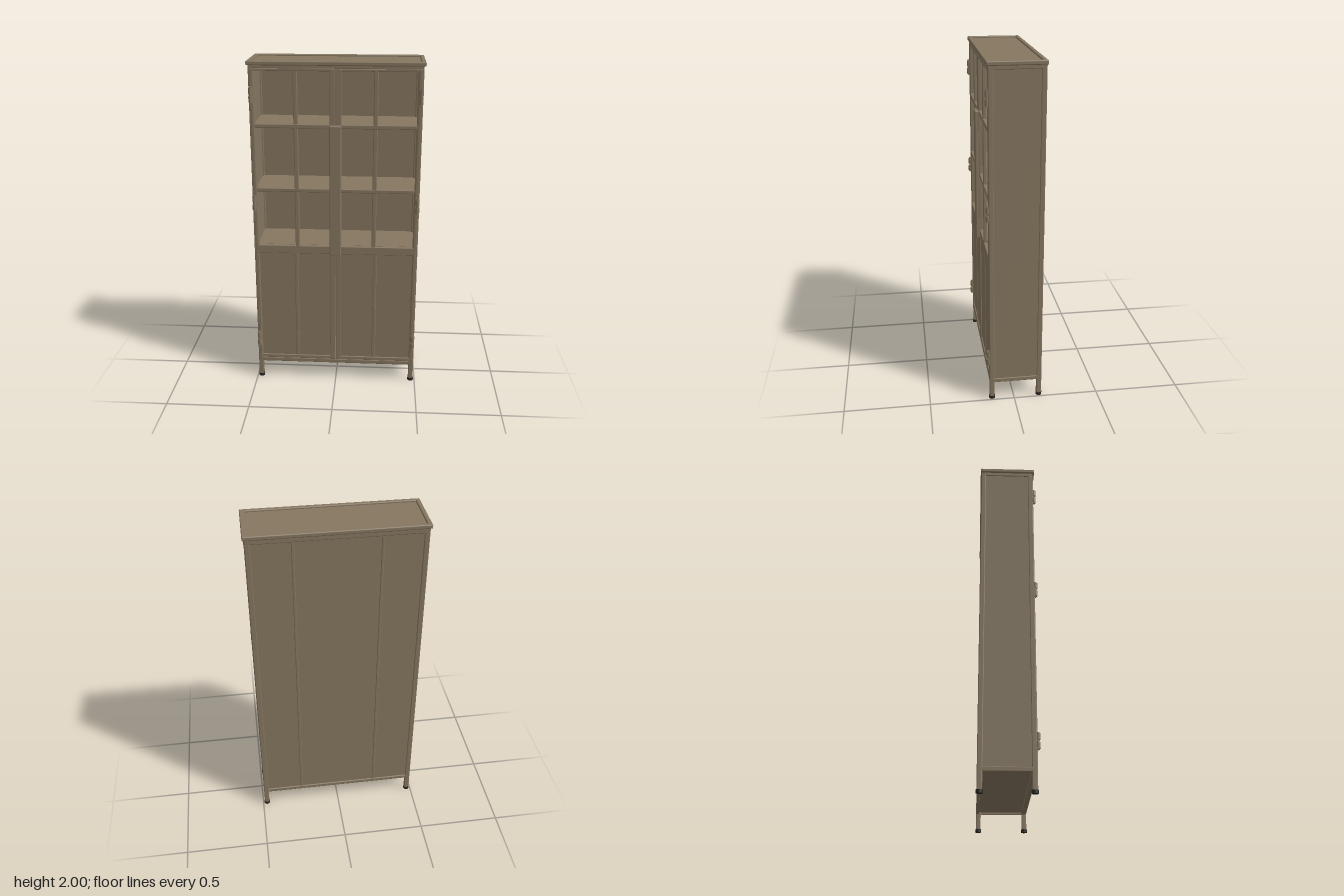
import * as THREE from 'three';
import { RoundedBoxGeometry } from 'three/addons/geometries/RoundedBoxGeometry.js';

export function createModel() {
  const model = new THREE.Group();
  const paint = new THREE.MeshStandardMaterial({ color: 0x857660 });
  paint.name = 'olive brown paint';
  const rubber = new THREE.MeshStandardMaterial({ color: 0x2b2722 });
  rubber.name = 'dark rubber';

  // Box given by its limits on each axis; r rounds its edges
  function box(name, x0, x1, y0, y1, z0, z1, r = 0, parent = model) {
    const [w, h, d] = [x1 - x0, y1 - y0, z1 - z0];
    const geo = r ? new RoundedBoxGeometry(w, h, d, 2, r) : new THREE.BoxGeometry(w, h, d);
    const mesh = new THREE.Mesh(geo, paint);
    mesh.name = name;
    mesh.position.set((x0 + x1) / 2, (y0 + y1) / 2, (z0 + z1) / 2);
    parent.add(mesh);
    return mesh;
  }
  function cylinder(name, radius, height, x, y, z, material, parent = model) {
    const mesh = new THREE.Mesh(new THREE.CylinderGeometry(radius, radius, height, 16), material);
    mesh.name = name;
    mesh.position.set(x, y, z);
    parent.add(mesh);
  }

  const X = 0.49, BACK = -0.165, FRONT = 0.145, BASE = 0.11, TOP = 1.98;

  // Top: recessed sheet with a raised rim
  box('topPanel', -0.48, 0.48, 1.965, 1.99, -0.15, 0.135);
  box('topRimFront', -0.5, 0.5, 1.976, 2, 0.13, 0.155, 0.006);
  box('topRimBack', -0.5, 0.5, 1.976, 2, -0.17, -0.145, 0.006);
  for (const s of [-1, 1]) {
    const side = s * 0.4875;
    box('topRimSide', side - 0.0125, side + 0.0125, 1.976, 2, -0.17, 0.155, 0.006);
  }

  // Corner posts running down into legs, with dark foot caps
  for (const s of [-1, 1]) {
    for (const z of [BACK + 0.0145, FRONT - 0.0145]) {
      const x = s * (X - 0.015);
      box('cornerPost', x - 0.015, x + 0.015, 0.015, TOP, z - 0.0145, z + 0.0145, 0.005);
      cylinder('footCap', 0.018, 0.018, x, 0.009, z, rubber);
    }
    // Side wall with shallow frame
    const wall = s * (X - 0.012);
    box('sidePanel', wall - 0.008, wall + 0.008, BASE, TOP, BACK + 0.01, FRONT - 0.01);
    const rail = s * (X - 0.01);
    for (const [y0, y1] of [[BASE, 0.135], [1.955, TOP]])
      box('sideRail', rail - 0.01, rail + 0.01, y0, y1, BACK + 0.01, FRONT - 0.01, 0.004);
  }

  // Back sheet, rails and vertical seams
  box('backPanel', -0.48, 0.48, BASE, TOP, -0.158, -0.148);
  box('backRailBottom', -0.48, 0.48, BASE, 0.135, BACK, -0.145, 0.005);
  box('backRailTop', -0.48, 0.48, 1.95, TOP, BACK, -0.145, 0.005);
  for (const x of [-0.24, 0.24])
    box('backSeam', x - 0.008, x + 0.008, 0.13, 1.955, -0.163, -0.15, 0.004);

  // Recessed floor and shelves
  box('floorPanel', -0.48, 0.48, 0.122, 0.137, -0.15, 0.13);
  for (const y of [0.895, 1.25, 1.63])
    box('shelf', -0.472, 0.472, y - 0.008, y + 0.008, -0.15, 0.118);

  // Front frame
  box('frontRailBottom', -0.48, 0.48, BASE, 0.137, 0.115, FRONT, 0.005);
  box('frontRailTop', -0.48, 0.48, 1.958, TOP, 0.115, FRONT, 0.005);

  // Pair of doors: open lattice above, closed panels below
  for (const s of [-1, 1]) {
    const door = new THREE.Group();
    door.name = s > 0 ? 'leftDoor' : 'rightDoor';
    model.add(door);
    const bar = (name, a, b, y0, y1, z0, z1, r) =>
      box(name, Math.min(s * a, s * b), Math.max(s * a, s * b), y0, y1, z0, z1, r, door);
    bar('outerStile', 0.464, 0.482, 0.137, 1.96, 0.122, 0.147, 0.004);
    bar('innerStile', 0.001, 0.034, 0.137, 1.96, 0.122, 0.147, 0.004);
    bar('latticeBar', 0.215, 0.24, 0.9, 1.95, 0.124, 0.145, 0.005);
    for (const [y0, y1] of [[0.137, 0.16], [0.855, 0.905], [1.242, 1.264], [1.622, 1.645], [1.945, 1.96]])
      bar('doorRail', 0.03, 0.468, y0, y1, 0.122, 0.146, 0.004);
    bar('lowerPanel', 0.03, 0.468, 0.15, 0.86, 0.126, 0.139);
    bar('lowerSeam', 0.226, 0.248, 0.155, 0.86, 0.13, 0.144, 0.004);

    // Knuckled hinges on the outer edge
    for (const y of [0.275, 1.17, 1.81]) {
      const hinge = new THREE.Group();
      hinge.name = 'hinge';
      door.add(hinge);
      cylinder('hingePin', 0.008, 0.095, s * 0.479, y, 0.149, paint, hinge);
      for (const dy of [-0.024, 0.024])
        cylinder('hingeKnuckle', 0.012, 0.034, s * 0.479, y + dy, 0.15, paint, hinge);
    }
  }

  // Tall cover strip over the meeting doors
  box('coverStrip', -0.035, 0.033, 0.85, 1.642, 0.14, 0.168, 0.006);

  return model;
}
